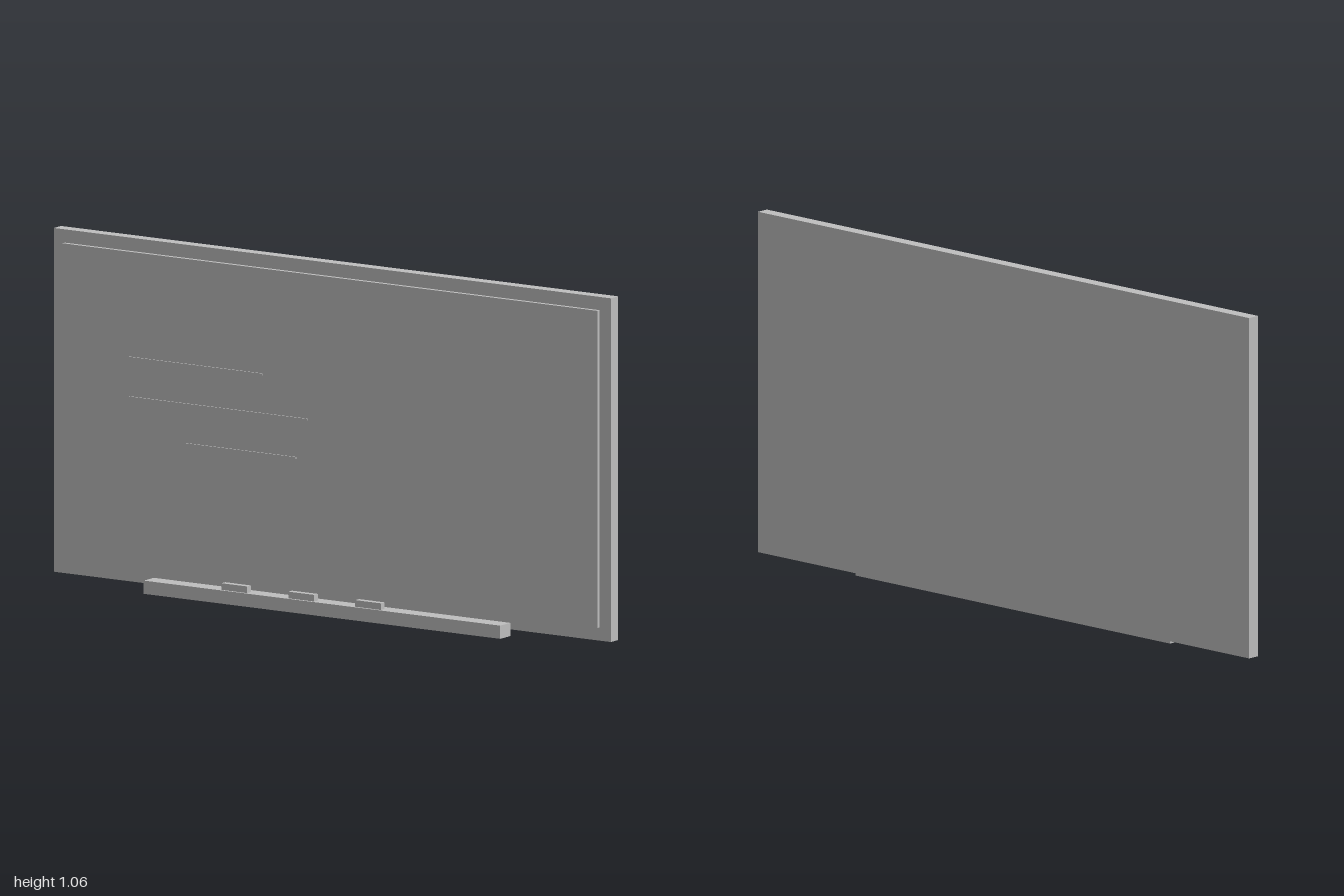
import * as THREE from 'three';

export function createModel() {
  const group = new THREE.Group();
  const grey = new THREE.MeshStandardMaterial({ color: 0xbfbfbf });
  grey.name = 'light grey';

  // Box given by its extents on each axis
  const box = (name, [x0, x1], [y0, y1], [z0, z1]) => {
    const mesh = new THREE.Mesh(new THREE.BoxGeometry(x1 - x0, y1 - y0, z1 - z0), grey);
    mesh.position.set((x0 + x1) / 2, (y0 + y1) / 2, (z0 + z1) / 2);
    mesh.name = name;
    group.add(mesh);
  };

  // Board
  box('frame', [-1, 1], [0.02, 1.06], [-0.047, -0.008]);
  box('writingSurface', [-0.96, 0.96], [0.06, 1.02], [-0.008, 0.005]);

  // Tray with pens
  box('tray', [-0.64, 0.64], [0, 0.04], [-0.007, 0.047]);
  [-0.32, -0.08, 0.16].forEach((x, i) =>
    box(`pen${i + 1}`, [x - 0.046, x + 0.046], [0.04, 0.06], [0.019, 0.039]));

  // Written strokes: left end, right end, height
  [[-0.72, -0.24, 0.7], [-0.72, -0.08, 0.58], [-0.52, -0.12, 0.46]].forEach(([x0, x1, y], i) =>
    box(`stroke${i + 1}`, [x0, x1], [y - 0.003, y + 0.003], [0.004, 0.009]));

  return group;
}
